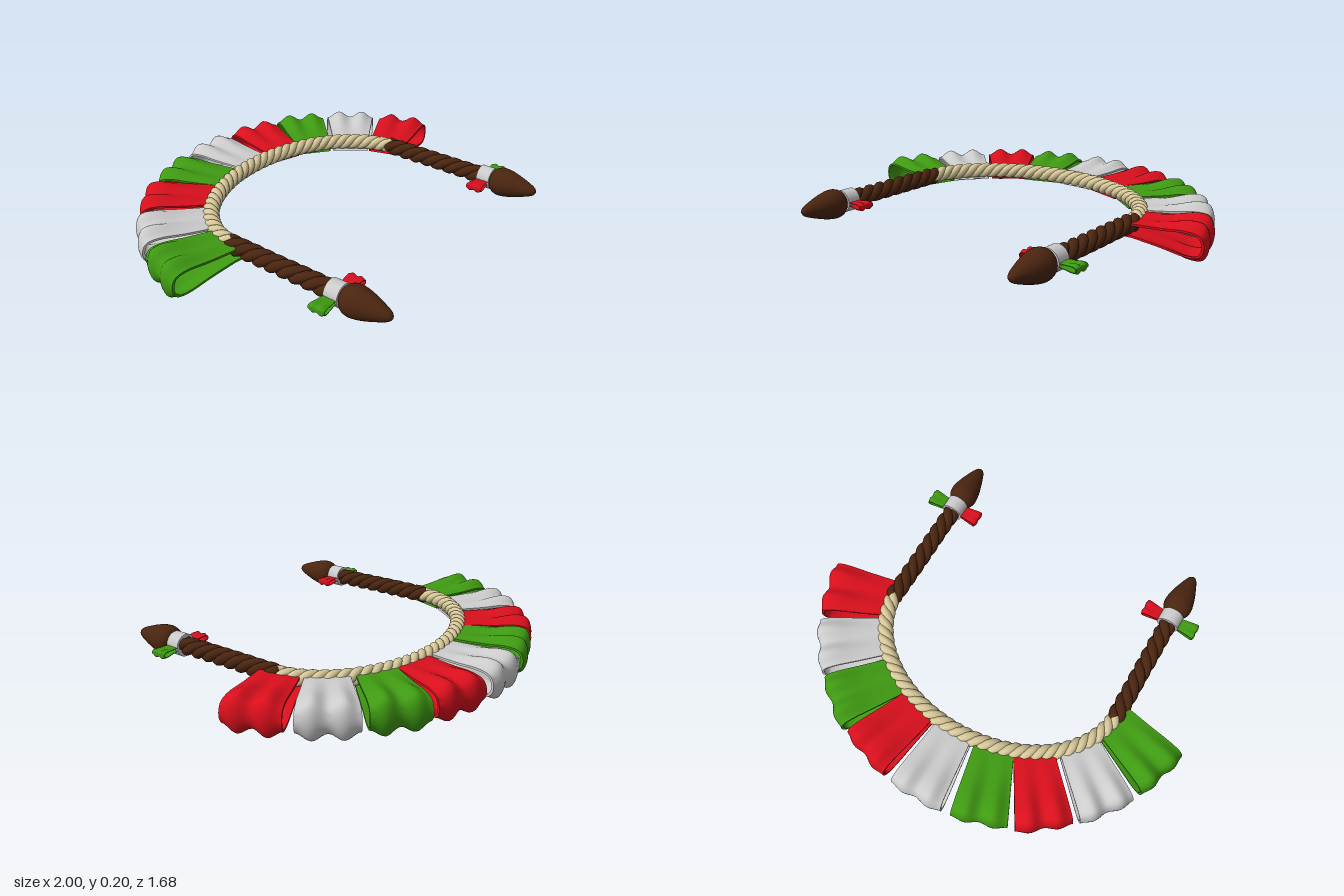
import * as THREE from 'three';
import { toCreasedNormals } from 'three/addons/utils/BufferGeometryUtils.js';

const CX = 0.015, RX = 0.635, RZ = 0.47, ROPE_Y = 0.148;
const mat = (color) => new THREE.MeshStandardMaterial({ color, side: THREE.DoubleSide });

function addMesh(parent, name, geometry, material) {
  const mesh = new THREE.Mesh(geometry, material);
  mesh.name = name;
  parent.add(mesh);
  return mesh;
}

// Looped strip of cloth: leaves along -z, turns over at the end and comes back, with two soft pleats
function clothLoop({ length: L, start, inner, outer, h0, h1, drop, thick, bump }) {
  const path = new THREE.CatmullRomCurve3([
    [start, h0], [L * 0.4, h0 + (h1 - h0) * 0.5], [L * 0.78, h1], [L * 0.94, h1 * 0.8], [L, 0],
    [L * 0.94, -h1 * 0.8], [L * 0.78, -h1], [L * 0.4, -(h0 + (h1 - h0) * 0.5)], [start, -h0],
  ].map(([r, y]) => new THREE.Vector3(r, y, 0)));
  const rows = 36, across = 20, ring = 2 * (across + 1);
  const pos = [], idx = [];
  for (let i = 0; i <= rows; i++) {
    const p = path.getPoint(i / rows), t = path.getTangent(i / rows);
    for (let j = 0; j < ring; j++) {
      const inside = j > across;
      const w = (inside ? ring - 1 - j : j) / across * 2 - 1;
      const r = p.x + (inside ? thick * t.y : 0);
      const y = p.y - (inside ? thick * t.x : 0);
      const f = Math.max(r / L, 0);
      const lobe = 0.5 - 0.5 * Math.cos(2 * Math.PI * w) + 0.15 * (1 - w * w);
      pos.push(
        w * (inner + (outer - inner) * f),
        y * (0.85 + 0.5 * lobe * f) - drop * f,
        -(r + bump * f * f * lobe),
      );
    }
  }
  for (let i = 0; i < rows; i++) {
    for (let j = 0; j < ring; j++) {
      const a = i * ring + j, b = i * ring + (j + 1) % ring;
      idx.push(a, b, a + ring, b, b + ring, a + ring);
    }
  }
  const g = new THREE.BufferGeometry();
  g.setAttribute('position', new THREE.Float32BufferAttribute(pos, 3));
  g.setIndex(idx);
  return toCreasedNormals(g, 0.8);
}

// Three strands twisted around a level centre line; frame(t) returns its point and tangent
function twistedRope(name, frame, turns, offset, radius, material) {
  const group = new THREE.Group();
  group.name = name;
  const steps = Math.ceil(turns * 14);
  for (let k = 0; k < 3; k++) {
    const pts = [];
    for (let i = 0; i <= steps; i++) {
      const { point, tangent } = frame(i / steps);
      const a = (i / steps) * turns * Math.PI * 2 + k * Math.PI * 2 / 3;
      const side = new THREE.Vector3(-tangent.z, 0, tangent.x);
      pts.push(point.clone().addScaledVector(side, Math.cos(a) * offset)
        .add(new THREE.Vector3(0, Math.sin(a) * offset, 0)));
    }
    const curve = new THREE.CatmullRomCurve3(pts);
    addMesh(group, 'strand', new THREE.TubeGeometry(curve, steps * 2, radius, 10), material);
    // rounded strand ends
    for (const p of [pts[0], pts[steps]]) {
      addMesh(group, 'strandEnd', new THREE.SphereGeometry(radius, 10, 8), material).position.copy(p);
    }
  }
  return group;
}

export function createModel() {
  const model = new THREE.Group();
  model.name = 'ropeGarland';
  const green = mat(0x3f9a12), white = mat(0xcccccc), red = mat(0xd80f1c);
  const brown = mat(0x4a2510), straw = mat(0xd8c99a);

  // Curved rope across the back
  const arc = new THREE.EllipseCurve(CX, 0, RX, RZ, Math.PI, Math.PI * 2);
  model.add(twistedRope('curvedRope', (t) => {
    const p = arc.getPointAt(t), d = arc.getTangentAt(t);
    return { point: new THREE.Vector3(p.x, ROPE_Y, p.y), tangent: new THREE.Vector3(d.x, 0, d.y) };
  }, 11.5, 0.019, 0.022, straw));

  // Fan of nine cloth loops: distance from the middle, z, angle in degrees
  const spots = [[0, -0.5, 0], [0.213, -0.467, 18.5], [0.39, -0.39, 38], [0.548, -0.24, 53], [0.642, -0.053, 72]];
  const panel = clothLoop({
    length: 0.33, start: -0.03, inner: 0.098, outer: 0.137,
    h0: 0.035, h1: 0.07, drop: 0.03, thick: 0.012, bump: 0.014,
  });
  const colors = [green, white, red];
  for (let i = 0; i < 9; i++) {
    const [x, z, deg] = spots[Math.abs(i - 4)];
    const s = Math.sign(i - 4);
    const mesh = addMesh(model, 'clothPanel', panel, colors[i % 3]);
    mesh.position.set(CX + s * x, 0.133, z);
    mesh.rotation.y = -s * THREE.MathUtils.degToRad(deg);
  }

  // Tapered end piece profile
  const tip = new THREE.SplineCurve([
    [0.045, 0], [0.064, 0.02], [0.072, 0.055], [0.064, 0.105], [0.045, 0.165], [0.022, 0.22], [0, 0.237],
  ].map(([r, y]) => new THREE.Vector2(r, y))).getPoints(30);
  tip.forEach((p) => { p.x = Math.max(p.x, 0); });
  const tipGeo = new THREE.LatheGeometry([new THREE.Vector2(0, 0), ...tip], 32);
  const cuffGeo = toCreasedNormals(new THREE.CylinderGeometry(0.055, 0.055, 0.07, 32), 0.6);
  const bowGeo = clothLoop({
    length: 0.095, start: -0.01, inner: 0.031, outer: 0.042,
    h0: 0.01, h1: 0.016, drop: 0, thick: 0.004, bump: 0.004,
  });

  // Two straight arms, each with a cuff, a little bow and a pointed end
  for (const s of [-1, 1]) {
    const arm = new THREE.Group();
    arm.name = s < 0 ? 'rightArm' : 'leftArm';
    arm.position.set(CX + s * RX, ROPE_Y, 0);
    const tangent = new THREE.Vector3(0, 0, 1);
    arm.add(twistedRope('armRope', (t) => ({ point: new THREE.Vector3(0, 0, -0.03 + 0.57 * t), tangent }),
      2.8, 0.021, 0.025, brown));
    const cuff = addMesh(arm, 'cuff', cuffGeo, white);
    cuff.rotation.x = Math.PI / 2;
    cuff.position.z = 0.565;
    const end = addMesh(arm, 'pointedEnd', tipGeo, brown);
    end.rotation.x = Math.PI / 2;
    end.position.z = 0.6;
    for (const d of [-1, 1]) {
      const bow = addMesh(arm, 'bowLoop', bowGeo, d === s ? green : red);
      bow.position.set(d * 0.047, -0.006, 0.565);
      bow.rotation.y = -d * Math.PI / 2;
    }
    model.add(arm);
  }
  return model;
}
